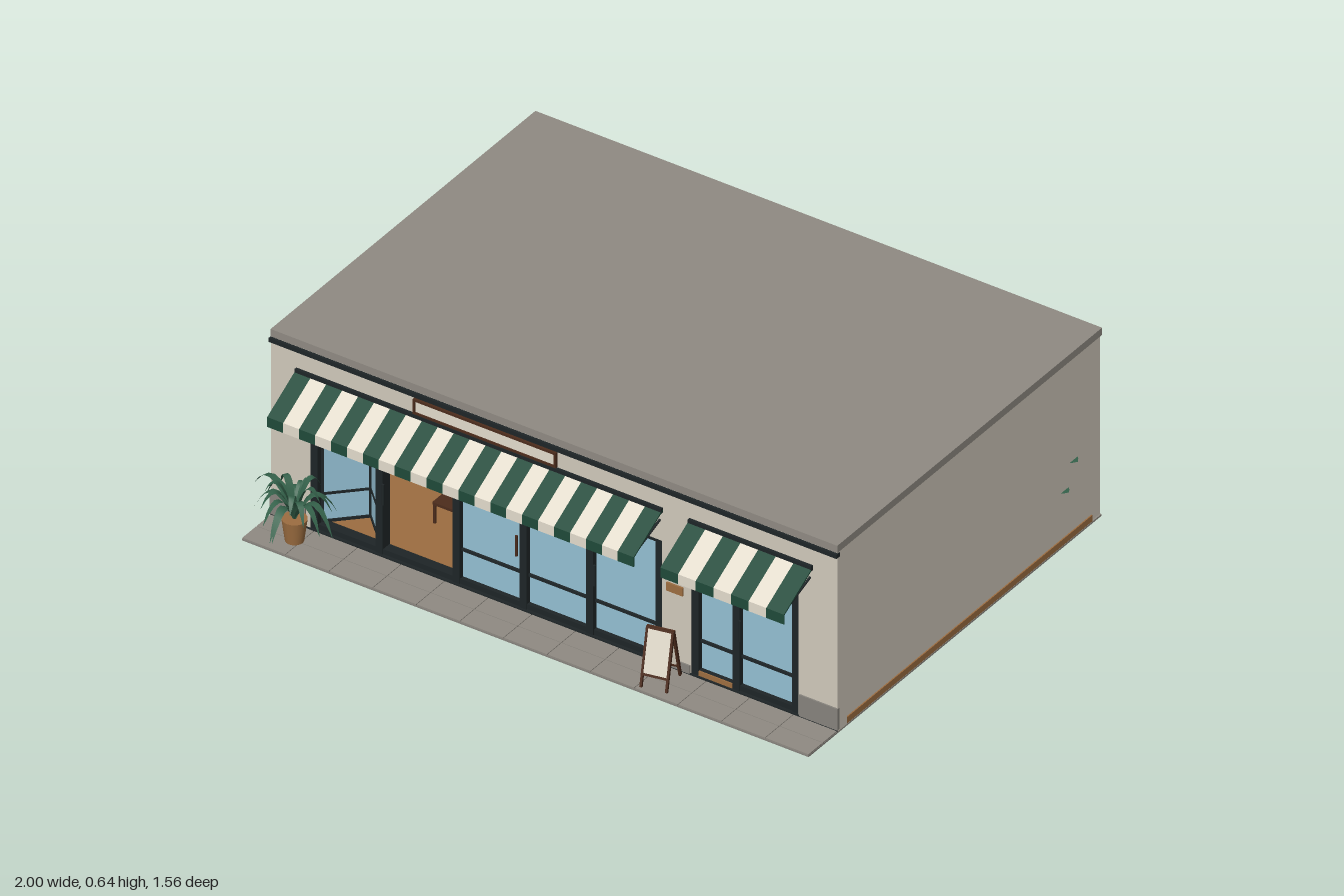
import * as THREE from 'three';

const mat = (name, color, both) => {
  const m = new THREE.MeshStandardMaterial({ color });
  m.name = name;
  if (both) m.side = THREE.DoubleSide;
  return m;
};

export function createModel() {
  const wall = mat('plaster', 0xcfc8ba), concrete = mat('concrete', 0x8f8a82);
  const metal = mat('dark metal', 0x1e2527), green = mat('awning green', 0x1f4a39);
  const cream = mat('cream', 0xe2dbcc), glass = mat('glass blue', 0x93bfd2);
  const wood = mat('wood', 0x9c6d40), darkWood = mat('dark wood', 0x4c2c1c);
  const leaf = mat('leaf green', 0x34614a, true), plinthGrey = mat('plinth grey', 0x86827c);

  const model = new THREE.Group();
  const group = (name, parent = model) => {
    const g = new THREE.Group();
    g.name = name;
    parent.add(g);
    return g;
  };
  const add = (name, geo, m, parent = model) => {
    const mesh = new THREE.Mesh(geo, m);
    mesh.name = name;
    parent.add(mesh);
    return mesh;
  };
  // Box given by its limits on each axis
  const box = (name, x0, x1, y0, y1, z0, z1, m, parent) => {
    const b = add(name, new THREE.BoxGeometry(x1 - x0, y1 - y0, z1 - z0), m, parent);
    b.position.set((x0 + x1) / 2, (y0 + y1) / 2, (z0 + z1) / 2);
    return b;
  };
  // Round rod between two points
  const rod = (name, a, b, r, m, parent) => {
    const p = new THREE.Vector3(...a), q = new THREE.Vector3(...b), d = q.clone().sub(p);
    const c = add(name, new THREE.CylinderGeometry(r, r, d.length(), 8), m, parent);
    c.position.copy(p).add(q).multiplyScalar(0.5);
    c.quaternion.setFromUnitVectors(new THREE.Vector3(0, 1, 0), d.normalize());
  };
  // Four bars around a rectangle
  const frame = (name, x0, x1, y0, y1, z0, z1, t, m, parent) => {
    box(name, x0, x0 + t, y0, y1, z0, z1, m, parent);
    box(name, x1 - t, x1, y0, y1, z0, z1, m, parent);
    box(name, x0 + t, x1 - t, y1 - t, y1, z0, z1, m, parent);
    box(name, x0 + t, x1 - t, y0, y0 + t, z0, z1, m, parent);
  };
  // Arching blade: out to reach, up by rise, then down to tip height
  const blade = (x, y, z, angle, reach, rise, tip, width, parent) => {
    const pos = [], idx = [], n = 7, c = Math.cos(angle), s = Math.sin(angle);
    for (let i = 0; i <= n; i++) {
      const t = i / n, w = width * (0.2 + 0.8 * Math.sin(Math.PI * Math.min(1, t * 0.9 + 0.1)));
      const h = 4 * rise * t * (1 - t) + tip * t * t, half = i === n ? 0.0005 : w / 2;
      for (const k of [-half, half]) pos.push(x + c * reach * t - s * k, y + h, z + s * reach * t + c * k);
      if (i < n) idx.push(2 * i, 2 * i + 1, 2 * i + 2, 2 * i + 1, 2 * i + 3, 2 * i + 2);
    }
    const g = new THREE.BufferGeometry();
    g.setAttribute('position', new THREE.Float32BufferAttribute(pos, 3));
    g.setIndex(idx);
    g.computeVertexNormals();
    add('leafBlade', g, leaf, parent);
  };

  // Ground slab and paving
  box('groundSlab', -0.96, 0.99, 0, 0.006, -0.765, 0.565, concrete);
  box('pavementBase', -0.96, 0.99, 0, 0.005, 0.565, 0.715, plinthGrey);
  const paving = group('paving');
  for (let i = 0; i < 13; i++) for (let j = 0; j < 2; j++) {
    const x = -0.96 + i * 0.15, z = 0.57 + j * 0.0725;
    box('pavingSlab', x + 0.001, x + 0.149, 0.005, 0.009, z + 0.001, z + 0.0715, concrete, paving);
  }
  box('floor', -0.959, 0.989, 0.006, 0.027, -0.72, 0.525, wood);

  // Shell: side and back walls, roof, facade with two openings
  box('leftSideWall', 0.955, 0.985, 0.006, 0.62, -0.765, 0.52, wall);
  box('rightSideWall', -0.955, -0.925, 0.006, 0.62, -0.765, 0.52, wall);
  box('backWall', -0.955, 0.985, 0.006, 0.62, -0.765, -0.735, wall);
  box('roof', -0.96, 0.99, 0.62, 0.645, -0.767, 0.57, concrete);
  const rect = (P, x0, x1, y0, y1) => {
    const p = new P();
    p.moveTo(x0, y0); p.lineTo(x1, y0); p.lineTo(x1, y1); p.lineTo(x0, y1); p.closePath();
    return p;
  };
  const facade = rect(THREE.Shape, -0.96, 0.99, 0.005, 0.62);
  facade.holes.push(rect(THREE.Path, -0.825, 0.385, 0.012, 0.43), rect(THREE.Path, 0.485, 0.855, 0.012, 0.43));
  add('facade', new THREE.ExtrudeGeometry(facade, { depth: 0.048, bevelEnabled: false }), wall).position.z = 0.52;
  box('corniceTrim', -0.962, 0.992, 0.604, 0.618, 0.56, 0.577, metal);
  box('facadeFootTrim', -0.96, 0.99, 0.006, 0.013, 0.56, 0.572, metal);
  for (const [a, b] of [[-0.962, -0.84], [0.86, 0.992], [0.387, 0.483]])
    box('plinth', a, b, 0.012, a > 0.3 && a < 0.5 ? 0.04 : 0.085, 0.562, 0.573, plinthGrey);

  // Shopfront glazing
  const glazing = group('glazing');
  const bay = (posts, open) => {
    const x0 = posts[0], x1 = posts[posts.length - 1];
    box('topRail', x0, x1, 0.415, 0.43, 0.53, 0.562, metal, glazing);
    box('bottomRail', x0, x1, 0.012, 0.03, 0.53, 0.562, metal, glazing);
    posts.forEach((x, i) => {
      box('mullion', x - 0.012, x + 0.012, 0.012, 0.43, 0.528, 0.566, metal, glazing);
      if (i === posts.length - 1 || i < open) return;
      box('pane', x, posts[i + 1], 0.03, 0.42, 0.542, 0.548, glass, glazing);
      box('transom', x, posts[i + 1], 0.122, 0.13, 0.538, 0.556, metal, glazing);
    });
  };
  bay([-0.813, -0.59, -0.325, -0.095, 0.135, 0.373], 2);
  bay([0.497, 0.638, 0.843], 0);
  for (const x of [-0.572, -0.113, 0.155, 0.655])
    rod('doorHandle', [x, 0.19, 0.572], [x, 0.26, 0.572], 0.004, x === -0.113 ? darkWood : metal, glazing);
  box('benchEnd', 0.51, 0.625, 0.013, 0.029, 0.555, 0.566, wood, glazing);

  // Folding door, folded inward
  for (const [x, z, turn] of [[-0.753, 0.492, 1], [-0.647, 0.492, -1]]) {
    const door = group('foldingDoorLeaf');
    door.position.set(x, 0, z);
    door.rotation.y = turn * Math.PI / 4;
    box('doorPane', -0.07, 0.07, 0.035, 0.415, -0.003, 0.003, glass, door);
    frame('doorFrame', -0.075, 0.075, 0.028, 0.42, -0.007, 0.007, 0.009, metal, door);
    box('doorTransom', -0.07, 0.07, 0.122, 0.13, -0.006, 0.006, metal, door);
  }

  // Striped awnings
  const profile = new THREE.Shape();
  [[0.567, 0.54], [0.715, 0.457], [0.715, 0.423], [0.711, 0.423], [0.711, 0.454], [0.567, 0.534]]
    .forEach(([z, y], i) => (i ? profile.lineTo(-z, y) : profile.moveTo(-z, y)));
  const awning = (x0, x1, count) => {
    const g = group('awning'), w = (x1 - x0) / count;
    for (let i = 0; i < count; i++) {
      const geo = new THREE.ExtrudeGeometry(profile, { depth: w, bevelEnabled: false });
      geo.rotateY(Math.PI / 2);
      add('awningStripe', geo, i % 2 ? cream : green, g).position.x = x0 + i * w;
    }
    box('awningRoller', x0, x1, 0.528, 0.545, 0.565, 0.578, metal, g);
    for (const x of [x0 + 0.01, (x0 + x1) / 2, x1 - 0.01])
      rod('awningArm', [x, 0.5, 0.568], [x, 0.452, 0.708], 0.004, metal, g);
  };
  awning(-0.873, 0.388, 23);
  awning(0.48, 0.905, 7);

  // Sign board, wall lamp and plaque
  box('signPanel', -0.46, 0.02, 0.552, 0.593, 0.567, 0.574, cream);
  frame('signFrame', -0.466, 0.026, 0.547, 0.598, 0.566, 0.578, 0.007, darkWood);
  frame('wallLampFrame', 0.42, 0.446, 0.342, 0.392, 0.566, 0.582, 0.005, metal);
  box('wallLampGlass', 0.425, 0.441, 0.347, 0.387, 0.566, 0.578, cream);
  box('plaque', 0.403, 0.46, 0.27, 0.298, 0.566, 0.574, wood);

  // Folding pavement board
  const board = group('pavementBoard');
  board.position.set(0.433, 0.009, 0.645);
  board.rotation.y = 0.2;
  for (const side of [1, -1]) {
    const half = group('boardHalf', board);
    half.position.y = 0.182;
    half.rotation.set(-side * 0.27, 0, 0);
    box('boardPanel', -0.038, 0.038, -0.145, -0.008, -0.003, 0.003, cream, half);
    frame('boardFrame', -0.043, 0.043, -0.15, 0, -0.005, 0.005, 0.007, darkWood, half);
    for (const x of [-0.043, 0.036]) box('boardLeg', x, x + 0.007, -0.187, -0.15, -0.005, 0.005, darkWood, half);
  }

  // Potted palms, outside and in the back corner
  const plant = (x, y, z, reach, count) => {
    const g = group('pottedPlant');
    add('pot', new THREE.CylinderGeometry(0.038, 0.028, 0.075, 16), wood, g).position.set(x, y + 0.0375, z);
    for (let i = 0; i < count; i++) {
      const k = (i * 5) % 7 / 7;
      blade(x, y + 0.07, z, i * 2 * Math.PI / count, reach * (0.62 + 0.38 * k), 0.1 - 0.03 * k, 0.09 - 0.11 * k, 0.022, g);
    }
  };
  plant(-0.83, 0.009, 0.64, 0.14, 17);
  blade(-0.83, 0.08, 0.64, Math.PI * 1.08, 0.172, 0.09, 0.04, 0.024, model);
  blade(-0.83, 0.08, 0.64, 1.5, 0.14, 0.08, 0, 0.024, model);
  blade(-0.83, 0.08, 0.64, 0.2, 0.155, 0.09, 0.01, 0.024, model);
  // Leaf tips that reach past the walls
  const tips = group('leafTips');
  for (const [x, y, z, a, r] of [[0.95, 0.25, -0.63, 0, 0.05], [0.95, 0.17, -0.585, 0, 0.05],
    [0.88, 0.25, -0.73, -1.6, 0.055], [0.91, 0.18, -0.73, -1.4, 0.05], [0.79, 0.19, -0.73, -1.75, 0.05],
    [-0.92, 0.33, -0.06, Math.PI, 0.08]])
    blade(x, y, z, a, r, 0.01, 0.015, 0.05, tips);

  // Back door
  const back = group('backDoor');
  box('backDoorSlab', 0.66, 0.83, 0.012, 0.41, -0.77, -0.76, wood, back);
  frame('backDoorFrame', 0.643, 0.847, 0.008, 0.428, -0.775, -0.76, 0.018, darkWood, back);
  for (const [y0, y1] of [[0.05, 0.19], [0.22, 0.385]])
    frame('backDoorPanel', 0.685, 0.805, y0, y1, -0.773, -0.768, 0.005, darkWood, back);
  rod('backDoorKnob', [0.672, 0.2, -0.768], [0.672, 0.2, -0.778], 0.006, metal, back);

  // Brick lining along the inner side wall
  const bricks = group('brickLining');
  for (let r = 0; r < 9; r++) for (let i = 0; i < 11; i++) {
    const z = -0.5 + i * 0.09 + (r % 2) * 0.045;
    box('brick', -0.926, -0.918, 0.028 + r * 0.04, 0.065 + r * 0.04, z, z + 0.086, wood, bricks);
  }

  // Tiled counter, coffee machine and shelves
  const counter = group('counter');
  box('counterBody', -0.6, -0.15, 0.027, 0.18, -0.1, 0.0, plinthGrey, counter);
  for (let r = 0; r < 4; r++) for (let i = 0; i < 9; i++)
    box('tile', -0.599 + i * 0.05, -0.552 + i * 0.05, 0.03 + r * 0.038, 0.065 + r * 0.038, 0, 0.005, cream, counter);
  box('counterTop', -0.61, -0.14, 0.18, 0.195, -0.11, 0.02, wood, counter);
  box('coffeeMachine', -0.575, -0.52, 0.195, 0.265, -0.08, -0.02, metal, counter);
  box('machinePanel', -0.568, -0.527, 0.225, 0.255, -0.02, -0.015, glass, counter);
  box('cakeCabinet', -0.465, -0.34, 0.2, 0.29, -0.08, -0.01, glass, counter);
  frame('cabinetFrame', -0.47, -0.335, 0.195, 0.32, -0.08, -0.006, 0.008, wood, counter);
  for (const y of [0.32, 0.375]) {
    box('shelf', -0.6, -0.3, y, y + 0.007, -0.735, -0.68, darkWood, counter);
    for (let i = 0; i < 7; i++)
      add('cup', new THREE.CylinderGeometry(0.011, 0.008, 0.025, 10), i % 3 ? cream : wood, counter)
        .position.set(-0.575 + i * 0.04, y + 0.02, -0.705);
  }

  // Chair and pendant lamp
  const chair = group('chair');
  box('chairSeat', -0.54, -0.45, 0.09, 0.099, 0.28, 0.37, darkWood, chair);
  for (const x of [-0.535, -0.455]) for (const z of [0.285, 0.365])
    rod('chairLeg', [x, 0.027, z], [x, z < 0.3 ? 0.165 : 0.09, z], 0.005, darkWood, chair);
  box('chairBack', -0.54, -0.45, 0.14, 0.168, 0.28, 0.29, darkWood, chair);
  rod('pendantCord', [-0.42, 0.62, 0.3], [-0.42, 0.4, 0.3], 0.002, metal);
  add('pendantShade', new THREE.CylinderGeometry(0.012, 0.04, 0.03, 16), metal).position.set(-0.42, 0.39, 0.3);
  return model;
}
